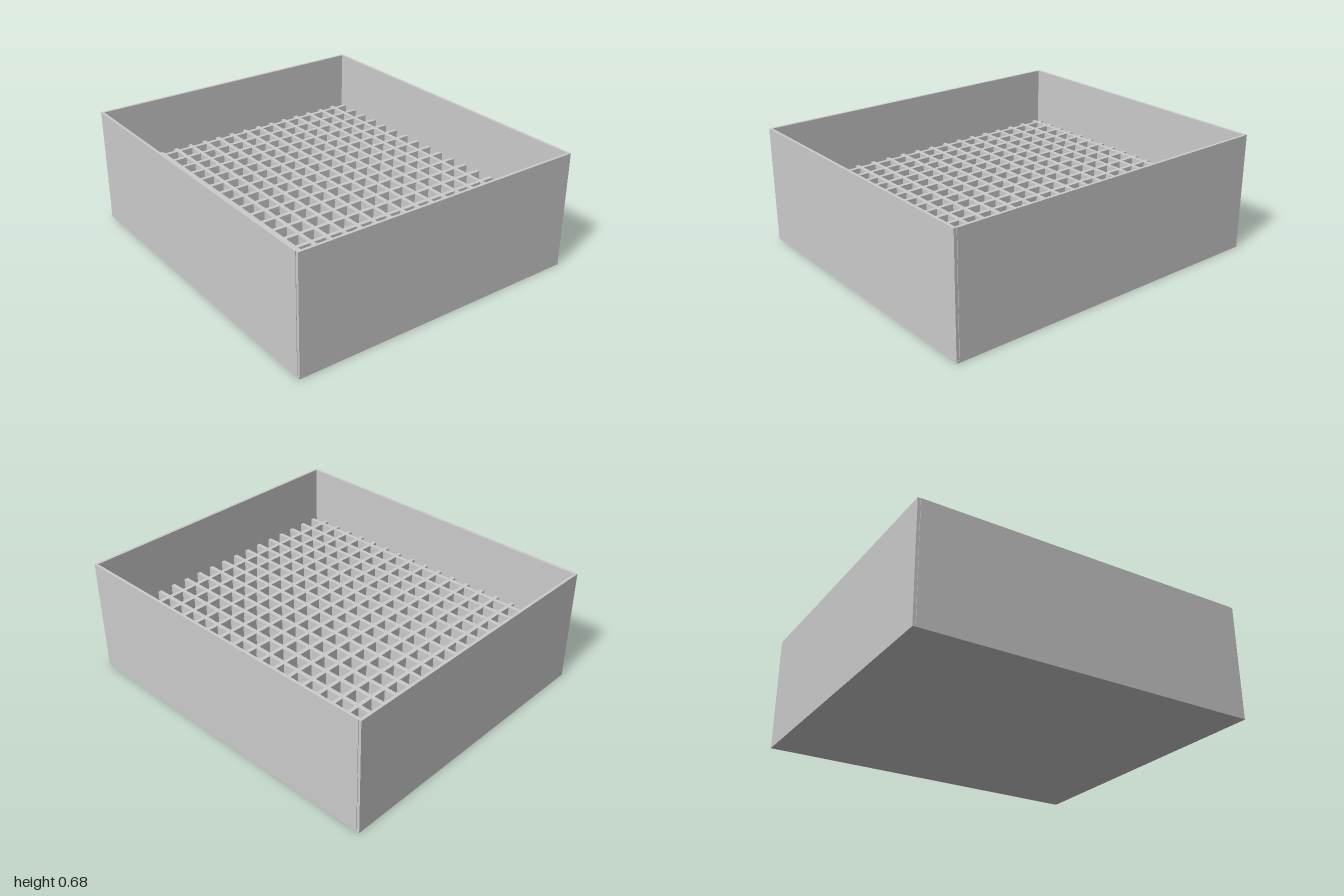
import * as THREE from 'three';

const W = 1.76, D = 2, H = 0.68, T = 0.016; // outer size and wall thickness
const FLOOR = 0.012, GRID_TOP = 0.335, BAR = 0.024;

// free intervals between evenly spaced bars, clipped to the inner walls
function gaps(first, last, count, limit) {
  const out = [];
  let from = -limit;
  for (let i = 0; i < count; i++) {
    const c = first + ((last - first) * i) / (count - 1);
    out.push([from, c - BAR / 2]);
    from = c + BAR / 2;
  }
  out.push([from, limit]);
  return out;
}

function rect(path, x0, y0, x1, y1) {
  path.moveTo(x0, y0);
  path.lineTo(x1, y0);
  path.lineTo(x1, y1);
  path.lineTo(x0, y1);
  path.closePath();
  return path;
}

export function createModel() {
  const group = new THREE.Group();
  const mat = new THREE.MeshStandardMaterial({ color: 0xcccccc });
  const slab = (name, w, h, d, x, y, z) => {
    const mesh = new THREE.Mesh(new THREE.BoxGeometry(w, h, d), mat);
    mesh.position.set(x, y, z);
    mesh.name = name;
    group.add(mesh);
  };

  // floor and four walls
  slab('floor', W, FLOOR, D, 0, FLOOR / 2, 0);
  const wallH = H - FLOOR, wallY = FLOOR + wallH / 2;
  for (const s of [1, -1]) {
    slab(s > 0 ? 'frontWall' : 'backWall', W - 0.006, wallH, T, 0, wallY, s * (D - T) / 2);
    slab(s > 0 ? 'leftWall' : 'rightWall', T, wallH, D - 2 * T, s * (W - T) / 2, wallY, 0);
  }

  // crossed dividers standing on the floor: a block with square cells cut out
  const ix = W / 2 - T, iz = D / 2 - T, lap = T / 2;
  const shape = rect(new THREE.Shape(), -ix - lap, -iz - lap, ix + lap, iz + lap);
  const columns = gaps(-0.823, 0.775, 17, ix);
  const rows = gaps(-0.89, 0.945, 18, iz); // shape y becomes -z
  for (const [x0, x1] of columns)
    for (const [y0, y1] of rows) shape.holes.push(rect(new THREE.Path(), x0, y0, x1, y1));
  const geo = new THREE.ExtrudeGeometry(shape, { depth: GRID_TOP - FLOOR, bevelEnabled: false });
  geo.rotateX(-Math.PI / 2);
  const grid = new THREE.Mesh(geo, mat);
  grid.position.y = FLOOR;
  grid.name = 'dividerGrid';
  group.add(grid);

  return group;
}
